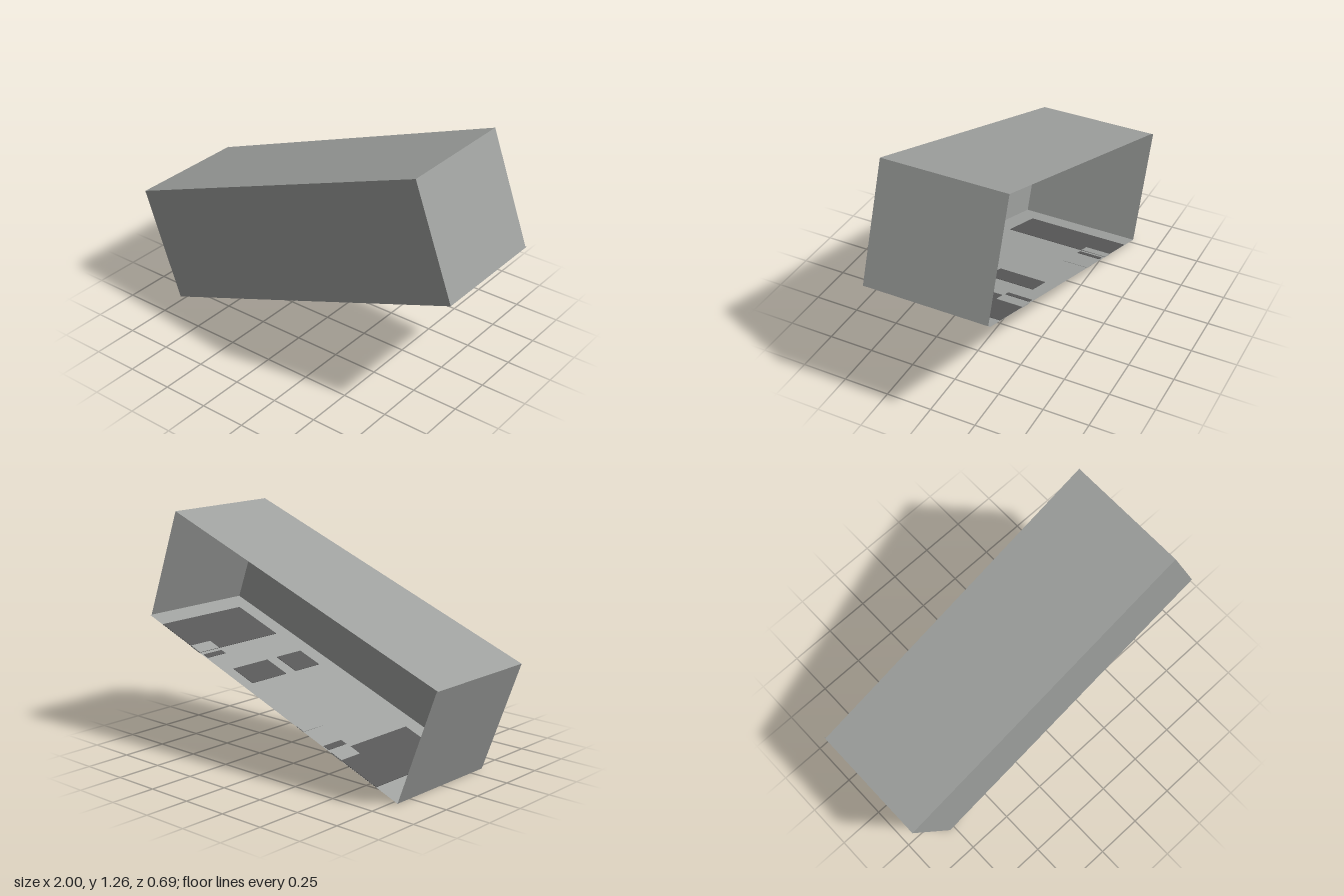
import * as THREE from 'three';

export function createModel() {
  const model = new THREE.Group();
  model.name = 'tiltedOpenCrate';

  const shellGrey = new THREE.MeshStandardMaterial({ color: 0x9fa19f, side: THREE.DoubleSide });
  shellGrey.name = 'shellGrey';
  const panelDark = new THREE.MeshStandardMaterial({ color: 0x575757, side: THREE.DoubleSide });
  panelDark.name = 'panelDark';

  const L = 1.896, H = 0.64, tilt = THREE.MathUtils.degToRad(20.3);
  const FRONT = 0.344, BACK = -0.344, LIP = -0.334;

  // Everything is built level, then tilted about the middle of the shell
  const body = new THREE.Group();
  body.name = 'body';
  body.position.y = 0.629;
  body.rotation.z = tilt;
  model.add(body);

  // A single sheet, spanning w by d, turned to its side of the shell
  const sheet = (name, w, d, pos, rot) => {
    const m = new THREE.Mesh(new THREE.PlaneGeometry(w, d), shellGrey);
    m.name = name;
    m.position.set(...pos);
    m.rotation.set(...rot);
    body.add(m);
  };

  // Shell: open at the back
  const full = FRONT - BACK, short = FRONT - LIP;
  const midFull = (FRONT + BACK) / 2, midShort = (FRONT + LIP) / 2;
  sheet('frontWall', L, H, [0, 0, FRONT], [0, 0, 0]);
  sheet('roof', L, short, [0, H / 2, midShort], [-Math.PI / 2, 0, 0]);
  sheet('floor', L, full, [0, -H / 2, midFull], [Math.PI / 2, 0, 0]);
  sheet('upperEndWall', short, H, [L / 2, 0, midShort], [0, Math.PI / 2, 0]);
  sheet('lowerEndWall', full, H, [-L / 2, 0, midFull], [0, -Math.PI / 2, 0]);

  // Floor plates show on both faces; y0 and y1 are heights along the slope
  const along = (y) => y / Math.sin(tilt) - L / 2;
  const plate = (name, y0, y1, z0, z1, material, thick) => {
    const a = along(y0), b = along(y1);
    const m = new THREE.Mesh(new THREE.BoxGeometry(b - a, thick, z1 - z0), material);
    m.name = name;
    m.position.set((a + b) / 2, -H / 2, (z0 + z1) / 2);
    body.add(m);
  };

  // Dark panels
  plate('upperPanel', 0.51, 0.62, -0.342, 0.245, panelDark, 0.004);
  plate('lowerPanel', 0.05, 0.158, -0.342, 0.245, panelDark, 0.004);
  plate('middlePanelFront', 0.388, 0.441, 0.056, 0.245, panelDark, 0.004);
  plate('middlePanelBack', 0.388, 0.441, -0.275, -0.018, panelDark, 0.004);
  plate('upperSlot', 0.49, 0.502, -0.336, -0.205, panelDark, 0.004);
  plate('lowerSlot', 0.167, 0.18, -0.336, -0.205, panelDark, 0.004);

  // Pale tabs at the open edge
  plate('upperTab', 0.51, 0.536, -0.343, -0.203, shellGrey, 0.007);
  plate('lowerTab', 0.134, 0.158, -0.343, -0.203, shellGrey, 0.007);
  plate('middleTab', 0.228, 0.248, -0.343, -0.203, shellGrey, 0.004);

  return model;
}
